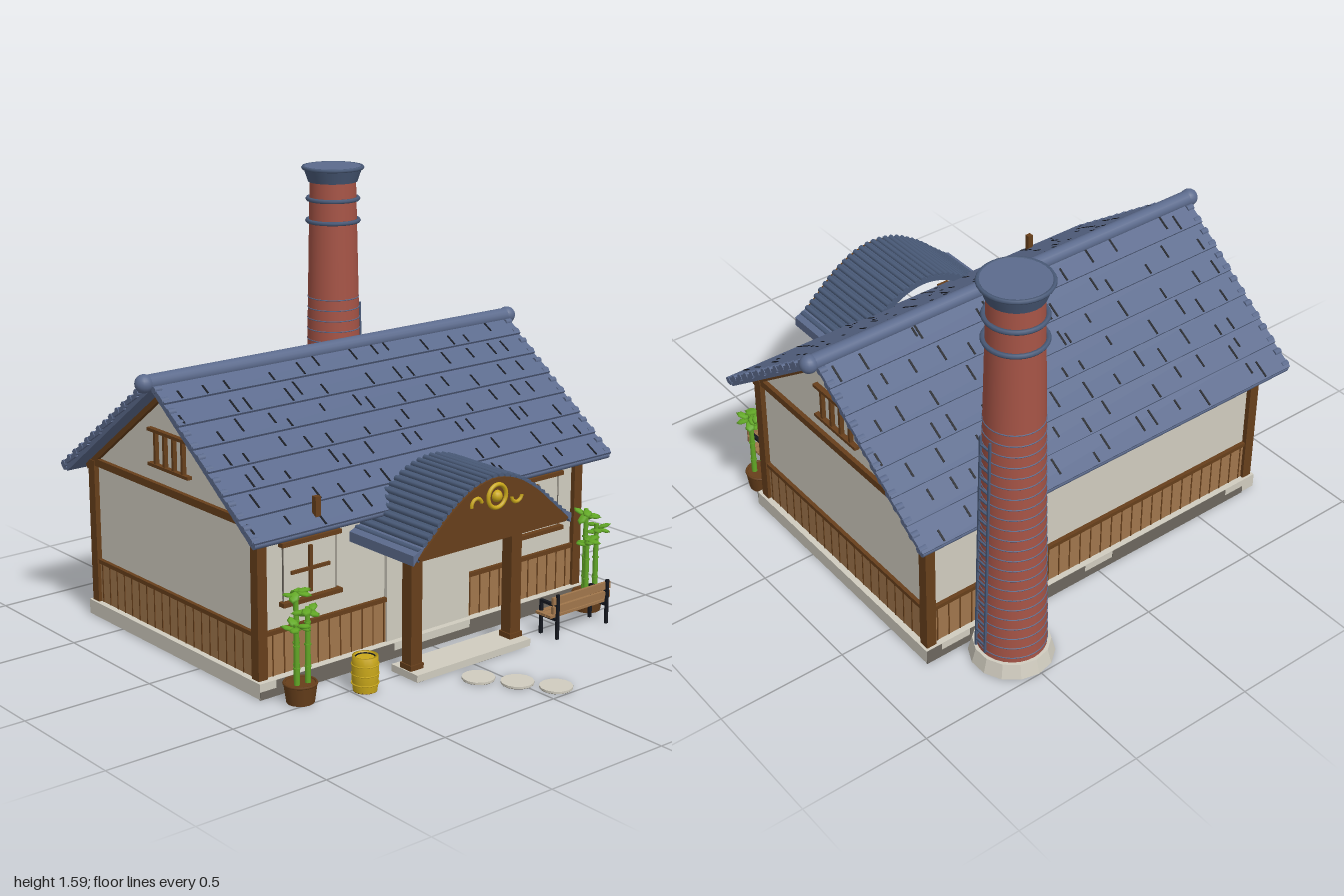
import * as THREE from 'three';

const mat = (name, color, extra = {}) => Object.assign(new THREE.MeshStandardMaterial({ color, ...extra }), { name });

export function createModel() {
  const plaster = mat('plaster', 0xd0ccbf);
  const stone = mat('greyStone', 0x6c675e);
  const tile = mat('roofTile', 0x5c6b8d);
  const slate = mat('slateTrim', 0x4a5b79);
  const brick = mat('brick', 0xa65446);
  const wood = mat('darkWood', 0x673f1b);
  const plank = mat('plankWood', 0xa0764c);
  const gold = mat('gold', 0xcaa81a);
  const leafy = mat('leafGreen', 0x62a826, { side: THREE.DoubleSide });
  const iron = mat('darkIron', 0x15181f);
  const model = new THREE.Group();
  model.name = 'house';

  let seed = 7;
  const rnd = () => (seed = (seed * 16807) % 2147483647) / 2147483647;

  const group = (name, parent = model) => {
    const g = new THREE.Group();
    g.name = name;
    parent.add(g);
    return g;
  };
  const add = (name, geo, m, x = 0, y = 0, z = 0, parent = model) => {
    const mesh = new THREE.Mesh(geo, m);
    mesh.name = name;
    mesh.position.set(x, y, z);
    parent.add(mesh);
    return mesh;
  };
  const box = (name, m, w, h, d, x, y, z, parent) => add(name, new THREE.BoxGeometry(w, h, d), m, x, y, z, parent);
  const cyl = (name, m, rt, rb, h, x, y, z, parent, n = 20) =>
    add(name, new THREE.CylinderGeometry(rt, rb, h, n), m, x, y, z, parent);
  const ring = (name, m, r, t, x, y, z, parent) => {
    const o = add(name, new THREE.TorusGeometry(r, t, 6, 32), m, x, y, z, parent);
    o.rotation.x = Math.PI / 2;
    return o;
  };
  const prism = (name, m, pts, depth, z, parent) =>
    add(name, new THREE.ExtrudeGeometry(new THREE.Shape(pts), { depth, bevelEnabled: false }), m, 0, 0, z, parent);

  // Foundation with uneven grey blocks set into its long faces
  const base = group('foundation');
  const ZC = -0.175;
  box('foundationSlab', plaster, 1.58, 0.057, 1.09, 0, 0.0315, ZC, base);
  box('foundationUnderside', stone, 1.57, 0.003, 1.08, 0, 0.0015, ZC, base);
  for (const s of [-1, 1]) {
    for (let row = 0; row < 2; row++) {
      for (let x = -0.79; x < 0.73;) {
        const w = Math.min(0.06 + rnd() * 0.1, 0.79 - x);
        if (rnd() < 0.78) box('foundationBlock', stone, w, 0.029, 0.008, x + w / 2, 0.0155 + row * 0.029, ZC + s * 0.543, base);
        x += w;
      }
    }
  }

  // Walls and gables in one pentagonal prism
  const section = new THREE.Shape([[0.33, 0.05], [0.33, 0.632], [-0.18, 1.008], [-0.69, 0.632], [-0.69, 0.05]]
    .map(p => new THREE.Vector2(...p)));
  const wallGeo = new THREE.ExtrudeGeometry(section, { depth: 1.52, bevelEnabled: false });
  wallGeo.rotateY(-Math.PI / 2).translate(0.76, 0, 0);
  add('walls', wallGeo, plaster);

  // Timber frame: corner posts, rails, gable edges and gable grilles
  const frame = group('timberFrame');
  for (const sx of [-1, 1]) {
    for (const z of [0.33, -0.69]) box('cornerPost', wood, 0.04, 0.56, 0.04, sx * 0.76, 0.34, z, frame);
    box('sideBeam', wood, 0.03, 0.028, 1.02, sx * 0.762, 0.615, -0.18, frame);
    box('sideRail', wood, 0.03, 0.016, 1.0, sx * 0.76, 0.222, -0.18, frame);
    for (const sz of [-1, 1]) {
      const b = box('gableEdge', wood, 0.03, 0.024, 0.68, sx * 0.762, 0.79, -0.18 + sz * 0.275, frame);
      b.rotation.x = sz * Math.atan2(0.45, 0.61);
    }
    for (const y of [0.695, 0.825]) box('grilleBar', wood, 0.02, 0.012, 0.25, sx * 0.77, y, -0.18, frame);
    for (const z of [-0.095, -0.152, -0.208, -0.265]) box('grilleSlat', wood, 0.016, 0.13, 0.012, sx * 0.768, 0.76, z, frame);
  }
  for (const z of [0.335, -0.695]) box('longBeam', wood, 1.52, 0.028, 0.02, 0, 0.615, z, frame);
  box('backRail', wood, 1.5, 0.016, 0.03, 0, 0.222, -0.69, frame);

  // Plank wainscot with dark joints, open at the doorway
  const wains = group('wainscot');
  for (const s of [-1, 1]) {
    box('sidePanel', plank, 0.01, 0.16, 1.0, s * 0.762, 0.138, -0.18, wains);
    for (let i = 0; i < 20; i++) box('joint', wood, 0.004, 0.16, 0.005, s * 0.767, 0.138, 0.295 - i * 0.05, wains);
    box('frontPanel', plank, 0.55, 0.16, 0.01, s * 0.475, 0.138, 0.333, wains);
    box('frontRail', wood, 0.55, 0.016, 0.03, s * 0.475, 0.222, 0.33, wains);
    for (let i = 0; i < 11; i++) box('joint', wood, 0.005, 0.16, 0.004, s * (0.21 + i * 0.05), 0.138, 0.338, wains);
  }
  box('backPanel', plank, 1.5, 0.16, 0.01, 0, 0.138, -0.692, wains);
  for (let i = 0; i < 30; i++) box('joint', wood, 0.005, 0.16, 0.004, -0.725 + i * 0.05, 0.138, -0.697, wains);
  box('door', plaster, 0.4, 0.48, 0.02, 0, 0.3, 0.335);

  // Front windows
  for (const s of [-1, 1]) {
    const w = group('window');
    w.position.set(s * 0.545, 0, 0.34);
    box('pane', plaster, 0.23, 0.2, 0.012, 0, 0.42, -0.008, w);
    for (const e of [-1, 1]) box('paneEdge', stone, 0.004, 0.2, 0.005, e * 0.116, 0.42, -0.003, w);
    box('lintel', wood, 0.26, 0.016, 0.03, 0, 0.532, 0, w);
    box('sill', wood, 0.26, 0.016, 0.04, 0, 0.315, 0, w);
    box('crossBar', wood, 0.17, 0.012, 0.012, 0, 0.422, 0.002, w);
    box('uprightBar', wood, 0.013, 0.17, 0.012, 0, 0.422, 0.002, w);
  }

  // Main roof: overlapping courses, dark slits and rolled verge
  const slope = Math.atan2(0.45, 0.61), len = 0.744, rows = 7, step = len / rows;
  for (const s of [-1, 1]) {
    const r = group(s > 0 ? 'frontRoof' : 'backRoof');
    r.position.set(0, 1.03, -0.18);
    r.rotation.y = s > 0 ? 0 : Math.PI;
    const pitch = group('roofPitch', r);
    pitch.rotation.x = slope;
    box('roofDeck', tile, 1.68, 0.02, len, 0, -0.012, len / 2, pitch);
    for (let i = 0; i < rows; i++) {
      const course = group('course', pitch);
      course.position.set(0, 0.004, (i + 0.5) * step);
      course.rotation.x = -0.09;
      box('tileCourse', tile, 1.7, 0.016, step + 0.012, 0, 0, 0, course);
      box('courseShadow', iron, 1.69, 0.005, 0.003, 0, -0.007, step / 2 + 0.0065, course);
      for (let j = 0; j < 13; j++) {
        const h = step * (0.35 + rnd() * 0.3);
        box('tileSlit', iron, 0.008, 0.003, h, -0.83 + (j + rnd()) * 0.127, 0.008, (rnd() < 0.6 ? 1 : -0.1) * (step - h) / 2, course);
      }
    }
    for (let i = 0; i < 14; i++) {
      for (const e of [-1, 1]) {
        const b = cyl('vergeRoll', tile, 0.013, 0.013, 0.03, e * 0.838, 0.006, (i + 0.75) * step / 2, pitch, 10);
        b.rotation.z = Math.PI / 2;
      }
    }
    const eave = cyl('eaveRoll', tile, 0.013, 0.013, 1.69, 0, -0.003, len, pitch, 10);
    eave.rotation.z = Math.PI / 2;
  }
  const ridge = cyl('ridgeRoll', tile, 0.03, 0.03, 1.74, 0, 1.03, -0.18, model, 16);
  ridge.rotation.z = Math.PI / 2;
  for (const s of [-1, 1]) add('ridgeBall', new THREE.SphereGeometry(0.034, 18, 12), tile, s * 0.867, 1.03, -0.18);
  box('roofPeg', wood, 0.022, 0.08, 0.02, -0.55, 0.655, 0.385);

  // Porch: step, posts, carved gable and ribbed arched roof
  const porch = group('porch');
  box('porchStep', plaster, 0.55, 0.027, 0.14, 0, 0.0165, 0.53, porch);
  box('stepUnderside', stone, 0.54, 0.003, 0.13, 0, 0.0015, 0.53, porch);
  for (const s of [-1, 1]) {
    box('porchPost', wood, 0.05, 0.48, 0.05, s * 0.24, 0.265, 0.53, porch);
    box('postFoot', wood, 0.06, 0.02, 0.06, s * 0.24, 0.04, 0.53, porch);
  }
  const arch = new THREE.CatmullRomCurve3([[-0.365, 0.51], [-0.3, 0.565], [-0.2, 0.65], [-0.1, 0.708], [0, 0.728],
    [0.1, 0.708], [0.2, 0.65], [0.3, 0.565], [0.365, 0.51]].map(p => new THREE.Vector3(p[0], p[1], 0)));
  const archPts = arch.getSpacedPoints(32).map(p => new THREE.Vector2(p.x, p.y));
  prism('porchRoof', slate, [...archPts, ...archPts.slice().reverse().map(p => new THREE.Vector2(p.x * 0.95, p.y - 0.022))],
    0.335, 0.35, porch);
  for (const p of arch.getSpacedPoints(30)) {
    const rib = cyl('porchRib', slate, 0.011, 0.011, 0.34, p.x, p.y, 0.52, porch, 8);
    rib.rotation.x = Math.PI / 2;
  }
  for (const s of [-1, 1]) {
    prism('porchEave', tile, [[0.376, 0.483], [0.376, 0.52], [0.325, 0.542]].map(p => new THREE.Vector2(s * p[0], p[1])),
      0.343, 0.35, porch);
  }
  prism('porchGable', wood, [new THREE.Vector2(0.345, 0.495), new THREE.Vector2(-0.345, 0.495),
    ...archPts.map(p => new THREE.Vector2(p.x * 0.98, p.y - 0.003))], 0.03, 0.667, porch);
  add('medallionRing', new THREE.TorusGeometry(0.042, 0.008, 8, 28), gold, 0, 0.66, 0.7, porch);
  add('medallionBoss', new THREE.SphereGeometry(0.022, 14, 10), gold, 0, 0.66, 0.697, porch);
  for (const s of [-1, 1]) {
    const c = add('crescent', new THREE.TorusGeometry(0.024, 0.007, 6, 14, Math.PI), gold, s * 0.095, 0.645, 0.699, porch);
    c.rotation.z = s > 0 ? Math.PI : 0.2;
  }

  // Chimney stack with bands, cap and ladder
  const stack = group('chimney');
  stack.position.set(0.51, 0, -0.845);
  const radius = y => 0.126 - 0.031 * (y - 0.05) / 1.48;
  const foot = new THREE.CylinderGeometry(0.14, 0.155, 0.057, 14).toNonIndexed();
  foot.computeVertexNormals();
  add('chimneyFoot', foot, plaster, 0, 0.0315, 0, stack);
  cyl('flueOpening', wood, 0.12, 0.12, 0.004, 0, 0.002, 0, stack);
  cyl('chimneyShaft', brick, radius(1.54), radius(0.02), 1.52, 0, 0.78, 0, stack, 28);
  for (let i = 0; i < 23; i++) {
    const y = 0.08 + i * 0.044;
    ring('brickBand', tile, radius(y), 0.0025, 0, y, 0, stack);
  }
  for (const y of [1.365, 1.455]) ring('collar', slate, radius(y) + 0.007, 0.009, 0, y, 0, stack);
  cyl('chimneyCap', slate, 0.122, 0.101, 0.06, 0, 1.555, 0, stack, 28);
  ring('capRim', slate, 0.121, 0.008, 0, 1.582, 0, stack);
  cyl('capTop', tile, 0.116, 0.116, 0.006, 0, 1.585, 0, stack, 28);
  const ladder = group('ladder', stack);
  ladder.position.set(0.13, 0.55, 0);
  ladder.rotation.z = 0.021;
  for (const s of [-1, 1]) box('ladderRail', slate, 0.008, 0.92, 0.007, 0, 0, s * 0.025, ladder);
  for (let i = 0; i < 20; i++) box('rung', slate, 0.007, 0.006, 0.05, 0, -0.43 + i * 0.045, 0, ladder);

  // Stepping stones
  for (const [x, z] of [[-0.08, 0.705], [0, 0.82], [0.075, 0.937]]) {
    cyl('steppingStone', plaster, 0.06, 0.06, 0.008, x, 0.006, z, model, 14);
    cyl('stoneUnderside', stone, 0.058, 0.058, 0.002, x, 0.001, z, model, 14);
  }

  // Barrel
  const barrel = group('barrel');
  barrel.position.set(-0.45, 0, 0.525);
  const staves = [[0.043, 0], [0.047, 0.035], [0.049, 0.065], [0.048, 0.1], [0.046, 0.13], [0.037, 0.13], [0.037, 0.118]];
  add('barrelBody', new THREE.LatheGeometry(staves.map(p => new THREE.Vector2(...p)), 18), gold, 0, 0, 0, barrel);
  for (const y of [0.03, 0.065, 0.1]) ring('barrelHoop', gold, 0.048, 0.0025, 0, y, 0, barrel);
  cyl('barrelLid', gold, 0.037, 0.037, 0.004, 0, 0.12, 0, barrel);
  ring('lidGap', iron, 0.036, 0.003, 0, 0.123, 0, barrel);
  cyl('barrelBottom', wood, 0.043, 0.043, 0.004, 0, 0.002, 0, barrel);

  // Potted bamboo
  const leafGeo = new THREE.SphereGeometry(1, 6, 4).translate(1, 0, 0).scale(0.029, 0.007, 0.019);
  for (const px of [-0.685, 0.715]) {
    const plant = group('pottedBamboo');
    plant.position.set(px, 0, 0.46);
    cyl('pot', wood, 0.06, 0.05, 0.07, 0, 0.035, 0, plant, 16);
    ring('potRim', wood, 0.057, 0.005, 0, 0.07, 0, plant);
    for (const [x, z, h] of [[-0.022, 0.01, 0.29], [0.022, 0.015, 0.345], [0, -0.02, 0.4]]) {
      cyl('stalk', leafy, 0.009, 0.011, h - 0.06, x, (h + 0.06) / 2, z, plant, 8);
      for (let y = 0.13; y < h; y += 0.08) cyl('stalkNode', leafy, 0.0125, 0.0125, 0.006, x, y, z, plant, 8);
      for (let k = 0; k < 6; k++) {
        const l = add('leaf', leafGeo, leafy, x, h - rnd() * 0.03, z, plant);
        l.rotation.set(0, k * 2.4 + rnd(), (rnd() - 0.6) * 1.1, 'YXZ');
      }
    }
  }

  // Bench with its back to the path
  const bench = group('bench');
  bench.position.set(0.53, 0, 0.565);
  for (let i = 0; i < 3; i++) box('seatSlat', plank, 0.3, 0.01, 0.024, 0, 0.085, -0.036 + i * 0.028, bench);
  for (const y of [0.115, 0.15]) box('backSlat', plank, 0.3, 0.028, 0.012, 0, y, 0.04, bench);
  for (const s of [-1, 1]) {
    const x = s * 0.13;
    box('rearLeg', iron, 0.012, 0.175, 0.01, x, 0.0875, 0.048, bench);
    box('frontLeg', iron, 0.012, 0.13, 0.01, x, 0.065, -0.038, bench);
    box('armRest', iron, 0.014, 0.01, 0.09, x, 0.13, 0.003, bench);
    box('seatSupport', iron, 0.012, 0.01, 0.085, x, 0.075, 0.003, bench);
  }
  return model;
}
